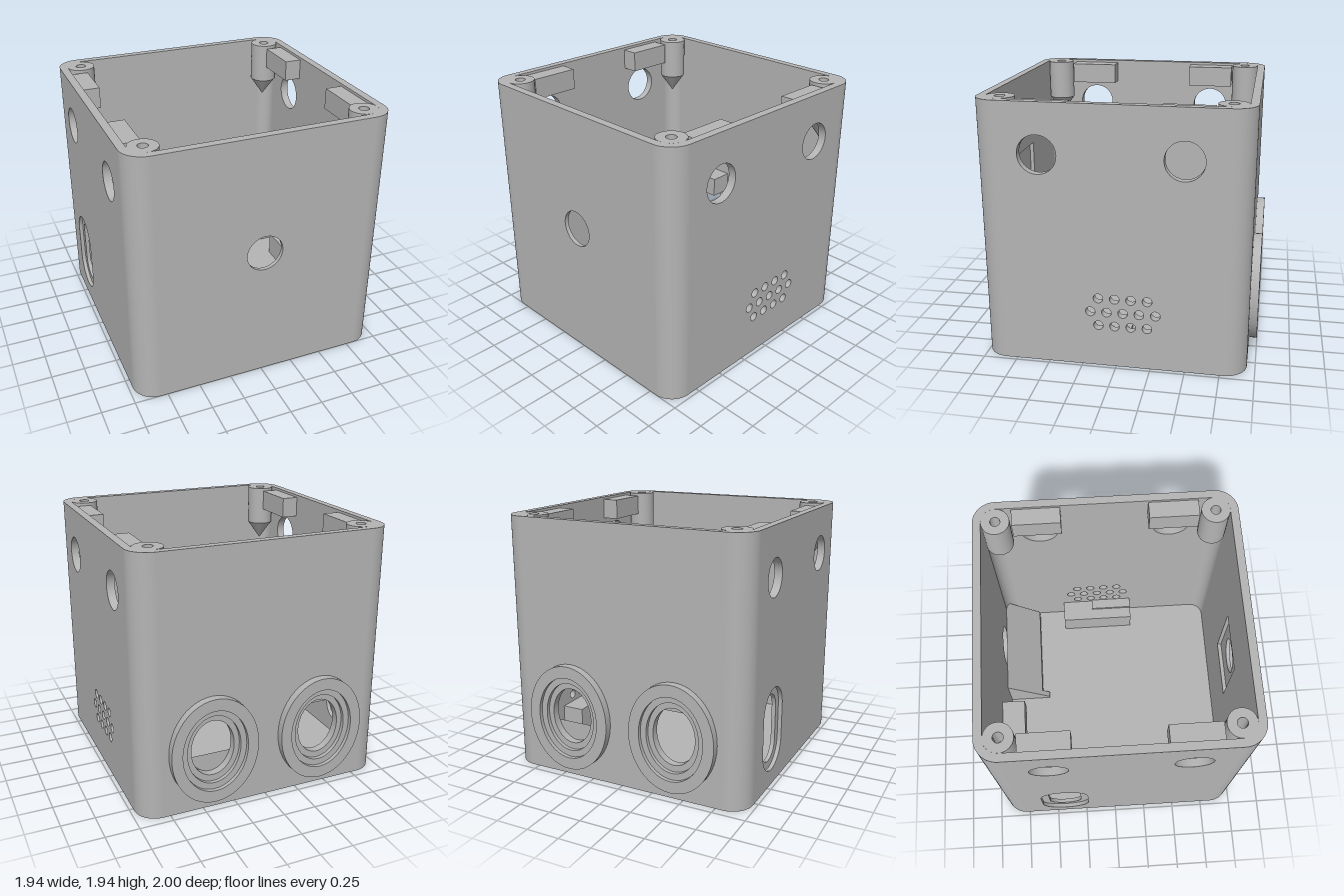
import * as THREE from 'three';
import { toCreasedNormals } from 'three/addons/utils/BufferGeometryUtils.js';

const HALF = 0.97, R = 0.165, C = HALF - R, H = 1.94, INNER = 0.91, ZC = 0.03, FLOOR = 0.06;

// Hole outlines
const ellipse = (x, y, rx, ry = rx) => new THREE.Path().absellipse(x, y, rx, ry, 0, Math.PI * 2, false, 0);
const slot = (x, y, r, s) => {
  const p = new THREE.Path();
  p.absarc(x, y + s, r, 0, Math.PI, false);
  p.absarc(x, y - s, r, Math.PI, Math.PI * 2, false);
  p.closePath();
  return p;
};
const rect = (x0, y0, x1, y1, T = THREE.Shape) => {
  const p = new T();
  p.moveTo(x0, y0); p.lineTo(x1, y0); p.lineTo(x1, y1); p.lineTo(x0, y1); p.closePath();
  return p;
};

// Extruded slab from z0 to z1 with creased normals
function slab(shape, z0, z1) {
  const g = new THREE.ExtrudeGeometry(shape, { depth: z1 - z0, bevelEnabled: false, curveSegments: 24 });
  g.translate(0, 0, z0);
  return toCreasedNormals(g, 0.6);
}

export function createModel() {
  const grey = new THREE.MeshStandardMaterial({ color: 0xb4b4b4 });
  grey.name = 'grey plastic';
  const model = new THREE.Group();
  model.name = 'enclosure';
  const body = new THREE.Group();
  body.name = 'body';
  body.position.z = ZC;
  model.add(body);

  const add = (name, geo, parent = model) => {
    const m = new THREE.Mesh(geo, grey);
    m.name = name;
    parent.add(m);
    return m;
  };
  const box = (name, x0, x1, y0, y1, z0, z1) => {
    const g = new THREE.BoxGeometry(x1 - x0, y1 - y0, z1 - z0);
    g.translate((x0 + x1) / 2, (y0 + y1) / 2, (z0 + z1) / 2);
    return add(name, g);
  };
  // Flat wall made of layers: each has its own holes and depth range
  const wall = (name, angle, layers) => {
    const g = new THREE.Group();
    g.name = name;
    g.rotation.y = angle;
    body.add(g);
    for (const [z0, z1, holes] of layers) {
      const s = rect(-C, 0, C, H);
      s.holes.push(...holes);
      add(name + 'Panel', slab(s, z0, z1), g);
    }
  };

  // Front wall: round opening with a square pocket behind it
  wall('frontWall', 0, [
    [0.94, HALF, [ellipse(0, 1.04, 0.137)]],
    [INNER, 0.94, [rect(-0.22, 0.74, 0.22, 1.34, THREE.Path)]],
  ]);

  // Back wall: two oval openings
  const portX = [-0.4275, 0.4225], portY = 0.475;
  wall('backWall', Math.PI, [[INNER, HALF, portX.map(x => ellipse(-x, portY, 0.165, 0.215))]]);

  // Left wall: two round openings and a grille
  const round = s => [0.54, -0.475].map(z => ellipse(s * (z - ZC), 1.575, 0.139));
  const grille = [];
  for (const [y, n, z0] of [[0.535, 4, 0.128], [0.428, 5, 0.186], [0.322, 4, 0.128]])
    for (let i = 0; i < n; i++) grille.push(ellipse(-(z0 - i * 0.118 - ZC), y, 0.035));
  wall('leftWall', Math.PI / 2, [[INNER, HALF, [...round(-1), ...grille]]]);

  // Right wall: two round openings and a recessed slot
  wall('rightWall', -Math.PI / 2, [
    [0.94, HALF, [...round(1), slot(-0.42 - ZC, 0.44, 0.19, 0.13)]],
    [INNER, 0.94, [...round(1), slot(-0.42 - ZC, 0.44, 0.13, 0.13)]],
  ]);

  // Rounded corners with screw bosses
  const r = INNER - C;
  const bossProfile = [[0, 1.48], [r, 1.63], [r, H], [0.037, H], [0.037, 1.7], [0, 1.7]]
    .map(p => new THREE.Vector2(...p));
  for (let i = 0; i < 4; i++) {
    const corner = new THREE.Group();
    corner.name = 'corner';
    corner.rotation.y = i * Math.PI / 2;
    body.add(corner);
    const s = new THREE.Shape();
    s.absarc(C, C, R, 0, Math.PI / 2, false);
    s.absarc(C, C, r, Math.PI / 2, 0, true);
    s.closePath();
    const g = slab(s, 0, H);
    g.rotateX(-Math.PI / 2);
    add('roundedCorner', g, corner);
    const boss = toCreasedNormals(new THREE.LatheGeometry(bossProfile, 40), 0.5);
    boss.translate(C, 0, -C);
    add('screwBoss', boss, corner);
  }

  // Floor slab
  const f = new THREE.Shape();
  [[1, 1, 0], [-1, 1, 1], [-1, -1, 2], [1, -1, 3]].forEach(([x, y, q]) =>
    f.absarc(x * C, y * C, r, q * Math.PI / 2, (q + 1) * Math.PI / 2, false));
  f.closePath();
  const floor = slab(f, 0, FLOOR);
  floor.rotateX(-Math.PI / 2);
  add('floor', floor, body);

  // Stepped oval bezels on the back
  for (const x of portX)
    for (const [z0, z1, rx, ry] of [[-1, -0.97, 0.25, 0.315], [-0.97, -0.94, 0.205, 0.265]]) {
      const s = new THREE.Shape().absellipse(x, portY, 0.333, 0.405, 0, Math.PI * 2, false, 0);
      s.holes.push(ellipse(x, portY, rx, ry));
      add('portBezel', slab(s, z0, z1));
    }

  // Lid bars on the side walls
  for (const s of [-1, 1])
    for (const [z0, z1] of [[-0.66, -0.3], [0.35, 0.72]])
      box('lidBar', Math.min(s * 0.78, s * INNER), Math.max(s * 0.78, s * INNER), 1.76, 1.92, z0, z1);

  // Inner supports
  box('backBlock', -0.65, -0.2, 0.64, 0.8, -0.88, -0.7);
  box('grilleShelf', 0.73, INNER, FLOOR, 0.26, -0.36, 0.25);
  box('grilleStop', 0.825, INNER, 0.26, 0.28, -0.1, 0.25);

  // Sloped ramp behind one port, with a longer end rib
  const ramp = (name, x0, x1, zEnd) => {
    const top = z => 0.4 + (-0.88 - z) * 0.9;
    const s = new THREE.Shape();
    s.moveTo(0.88, FLOOR); s.lineTo(0.88, top(-0.88)); s.lineTo(-zEnd, top(zEnd)); s.lineTo(-zEnd, FLOOR);
    s.closePath();
    const g = slab(s, x0, x1);
    g.rotateY(Math.PI / 2);
    add(name, g);
  };
  ramp('rampRib', 0.055, 0.1, -0.535);
  ramp('ramp', 0.1, 0.88, -0.595);

  return model;
}
